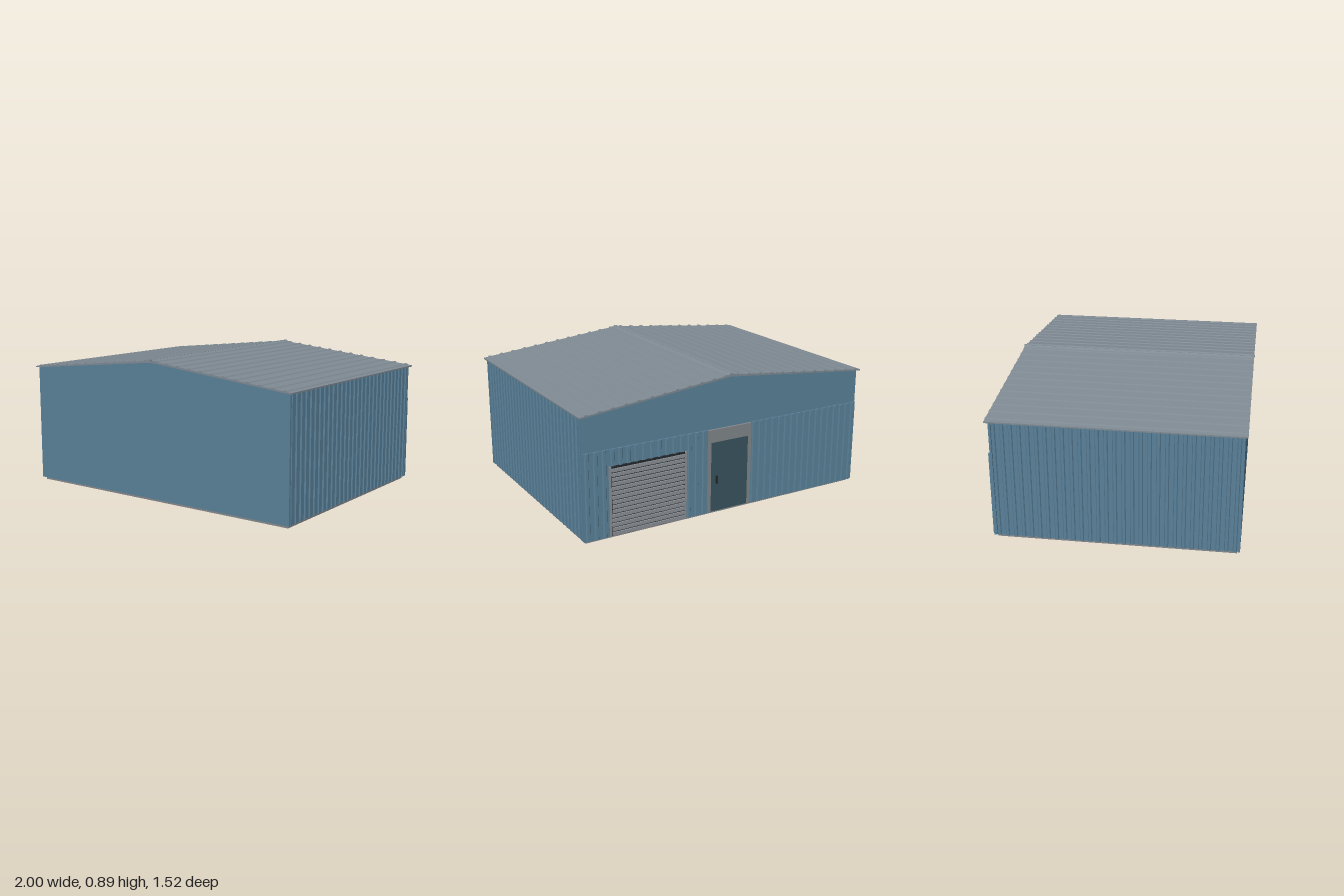
import * as THREE from 'three';

const mat = (name, color) => {
  const m = new THREE.MeshStandardMaterial({ color });
  m.name = name;
  return m;
};

export function createModel() {
  const blue = mat('blue cladding', 0x5a8199);
  const roofGrey = mat('roof grey', 0x7f8a93);
  const concrete = mat('concrete', 0x85888c);
  const frameGrey = mat('frame grey', 0x80868a);
  const shutterGrey = mat('shutter grey', 0x8a9096);
  const doorTeal = mat('door teal', 0x38535e);
  const dark = mat('dark metal', 0x25292c);

  const group = new THREE.Group();
  const add = (name, geo, material, parent = group) => {
    const m = new THREE.Mesh(geo, material);
    m.name = name;
    parent.add(m);
    return m;
  };
  // Box given by its lower and upper corners
  const box = (name, x0, x1, y0, y1, z0, z1, material, parent) => {
    const g = new THREE.BoxGeometry(x1 - x0, y1 - y0, z1 - z0);
    g.translate((x0 + x1) / 2, (y0 + y1) / 2, (z0 + z1) / 2);
    return add(name, g, material, parent);
  };
  const prism = (points, z0, z1) => {
    const shape = new THREE.Shape(points.map(([x, y]) => new THREE.Vector2(x, y)));
    const g = new THREE.ExtrudeGeometry(shape, { depth: z1 - z0, bevelEnabled: false });
    return g.translate(0, 0, z0);
  };

  // Upright trapezoidal sheet from u0 to u1 and y0 to y1, its ribs facing -z
  const PITCH = 0.05;
  const sheet = (u0, u1, y0, y1, base, depth) => {
    const n = Math.max(1, Math.round((u1 - u0) / PITCH));
    const p = (u1 - u0) / n;
    const pts = [[u1, 0], [u0, 0], [u0, base]];
    for (let i = 0; i < n; i++) {
      const u = u0 + i * p;
      pts.push([u + p * 0.25, base], [u + p * 0.35, depth], [u + p * 0.65, depth], [u + p * 0.75, base]);
    }
    pts.push([u1, base]);
    return prism(pts, y0, y1).rotateX(-Math.PI / 2);
  };

  // Floor slab
  box('floorSlab', -0.967, 0.967, 0, 0.02, -0.722, 0.722, concrete);

  // Building body with smooth front and gables
  add('wallsAndGables', prism(
    [[-0.968, 0.017], [0.968, 0.017], [0.968, 0.764], [0, 0.868], [-0.968, 0.764]], -0.735, 0.739), blue);

  // Ribbed side walls
  for (const s of [1, -1]) {
    const g = sheet(-0.733, 0.733, 0.017, 0.763, 0.008, 0.016);
    g.translate(0, 0, -0.968).rotateY(-s * Math.PI / 2);
    add(s > 0 ? 'leftRibbedWall' : 'rightRibbedWall', g, blue);
    // Corner trims
    for (const z of [-0.728, 0.732]) {
      const x = s * 0.976;
      box('cornerTrim', x - 0.008, x + 0.008, 0.017, 0.763, z - 0.007, z + 0.007, blue);
    }
  }

  // Ribbed lower back wall, around the door and the shutter
  const back = new THREE.Group();
  back.name = 'backRibbedWall';
  group.add(back);
  for (const [x0, x1, y0, y1] of [
    [-0.984, -0.155, 0.017, 0.552],
    [0.155, 0.31, 0.017, 0.552],
    [0.82, 0.984, 0.017, 0.552],
    [0.31, 0.82, 0.45, 0.552],
  ]) {
    const g = sheet(x0, x1, y0, y1, 0.006, 0.014);
    add('ribbedSheet', g.translate(0, 0, -0.735), blue, back);
  }

  // Roller shutter with side guides
  const shutter = new THREE.Group();
  shutter.name = 'rollerShutter';
  group.add(shutter);
  box('shutterBacking', 0.32, 0.81, 0.02, 0.45, -0.75, -0.735, dark, shutter);
  const slats = 15;
  for (let i = 0; i < slats; i++) {
    const y = 0.025 + i * (0.42 / slats);
    box('slat', 0.325, 0.805, y, y + 0.02, -0.759, -0.749, shutterGrey, shutter);
  }
  for (const x of [0.31, 0.81]) box('shutterGuide', x, x + 0.01, 0.018, 0.45, -0.757, -0.735, shutterGrey, shutter);

  // Entrance door with frame, header and handle
  const door = new THREE.Group();
  door.name = 'entranceDoor';
  group.add(door);
  box('doorLeaf', -0.135, 0.135, 0.02, 0.47, -0.744, -0.735, doorTeal, door);
  box('doorHeader', -0.155, 0.155, 0.47, 0.55, -0.751, -0.735, frameGrey, door);
  for (const x of [-0.155, 0.135]) box('doorJamb', x, x + 0.02, 0.018, 0.47, -0.751, -0.735, frameGrey, door);
  box('doorHandle', 0.085, 0.097, 0.2, 0.25, -0.752, -0.744, dark, door);

  // Ribbed roof, ribs running from front to back
  const RIBS = 12, EAVE = 0.772, RIDGE = 0.877;
  const top = (x) => RIDGE - (RIDGE - EAVE) * Math.abs(x);
  const half = [];
  for (let i = 0; i < RIBS; i++) {
    const x = (i + 0.5) / RIBS;
    for (const [dx, h] of [[-0.012, 0], [-0.007, 0.006], [0.007, 0.006], [0.012, 0]]) half.push([x + dx, top(x + dx) + h]);
  }
  const mirrored = half.map(([x, y]) => [-x, y]).reverse();
  add('roof', prism([
    [0, RIDGE - 0.012], [-1, EAVE - 0.009], [-1, EAVE], ...mirrored,
    [0, RIDGE], ...half, [1, EAVE], [1, EAVE - 0.009],
  ], -0.754, 0.754), roofGrey);

  // Ridge cap
  add('ridgeCap', prism(
    [[-0.03, top(0.03)], [0.03, top(0.03)], [0.008, 0.884], [0, 0.887], [-0.008, 0.884]], -0.754, 0.754), roofGrey);
  box('ridgeBead', -0.008, 0.008, 0.874, 0.885, -0.76, 0.76, roofGrey);

  return group;
}
